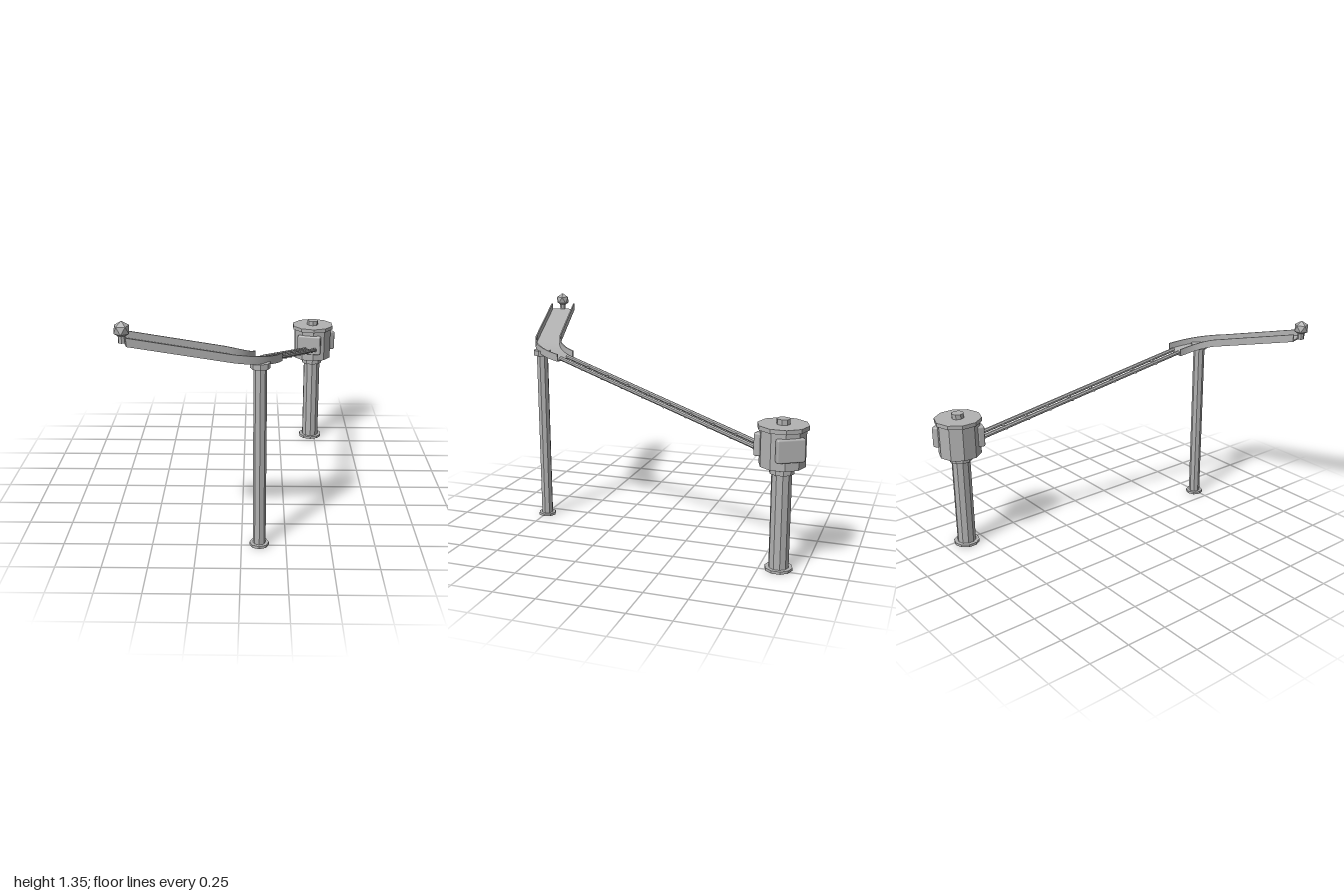
import * as THREE from 'three';
import { toCreasedNormals } from 'three/addons/utils/BufferGeometryUtils.js';
import { RoundedBoxGeometry } from 'three/addons/geometries/RoundedBoxGeometry.js';

const grey = new THREE.MeshStandardMaterial({ color: 0xb2b2b2 });
grey.name = 'grey';

function add(parent, name, geometry, x = 0, y = 0, z = 0) {
  const mesh = new THREE.Mesh(geometry, grey);
  mesh.name = name;
  mesh.position.set(x, y, z);
  parent.add(mesh);
  return mesh;
}

// Upright faceted cylinder between two heights, about the group's axis
function disc(parent, name, radius, y0, y1, sides) {
  const g = toCreasedNormals(new THREE.CylinderGeometry(radius, radius, y1 - y0, sides), 0.3);
  return add(parent, name, g, 0, (y0 + y1) / 2, 0);
}

// Slim bar joining two points
function bar(parent, name, a, b, radius, sides) {
  const d = b.clone().sub(a);
  const g = toCreasedNormals(new THREE.CylinderGeometry(radius, radius, d.length(), sides), 0.3);
  const mesh = add(parent, name, g);
  mesh.position.copy(a).lerp(b, 0.5);
  mesh.quaternion.setFromUnitVectors(new THREE.Vector3(0, 1, 0), d.normalize());
  return mesh;
}

function subgroup(parent, name, x, z) {
  const g = new THREE.Group();
  g.name = name;
  g.position.set(x, 0, z);
  parent.add(g);
  return g;
}

// Sweeps a U-shaped section along a sloping plan path
function troughGeometry() {
  const W = 0.079, H = 0.045, T = 0.008;
  const profile = [[-W, 0], [W, 0], [W, H], [W - T, H], [W - T, T], [T - W, T], [T - W, H], [-W, H]]
    .map(p => new THREE.Vector2(...p));
  const start = new THREE.Vector3(-0.583, 1.235, 0.913);
  const bend = new THREE.QuadraticBezierCurve3(
    new THREE.Vector3(-0.06, 1.107, 0.77),
    new THREE.Vector3(0.105, 1.067, 0.725),
    new THREE.Vector3(0.143, 1.036, 0.563));
  const points = [start, ...bend.getPoints(14)];
  const positions = [], index = [], n = profile.length;
  points.forEach((p, i) => {
    const t = i ? bend.getTangent((i - 1) / 14) : points[1].clone().sub(p);
    const side = new THREE.Vector3(-t.z, 0, t.x).normalize();
    for (const q of profile) positions.push(p.x + side.x * q.x, p.y + q.y, p.z + side.z * q.x);
  });
  for (let i = 0; i < points.length - 1; i++) {
    for (let j = 0; j < n; j++) {
      const a = i * n + j, b = i * n + (j + 1) % n;
      index.push(a, a + n, b + n, a, b + n, b);
    }
  }
  // End faces
  const last = (points.length - 1) * n;
  for (const [a, b, c] of THREE.ShapeUtils.triangulateShape(profile, [])) {
    index.push(a, b, c, last + a, last + c, last + b);
  }
  const g = new THREE.BufferGeometry();
  g.setAttribute('position', new THREE.Float32BufferAttribute(positions, 3));
  g.setIndex(index);
  return toCreasedNormals(g, 0.5);
}

export function createModel() {
  const model = new THREE.Group();
  model.name = 'marbleRun';

  // Tall thin post under the bend
  const tall = subgroup(model, 'tallPost', 0.1, 0.74);
  disc(tall, 'tallPostBase', 0.055, 0, 0.016, 8);
  disc(tall, 'tallPostShaft', 0.036, 0.016, 1.05, 8);
  disc(tall, 'tallPostCap', 0.054, 1.048, 1.08, 8);

  // Thick post with a drum hovering just above it
  const tower = subgroup(model, 'drumTower', 0.472, -0.86);
  disc(tower, 'thickPostBase', 0.079, 0, 0.016, 10);
  disc(tower, 'thickPostShaft', 0.057, 0.016, 0.594, 10);
  disc(tower, 'thickPostCap', 0.07, 0.563, 0.588, 10);
  disc(tower, 'drum', 0.129, 0.607, 0.812, 10);
  disc(tower, 'drumLid', 0.142, 0.812, 0.836, 10);
  disc(tower, 'drumKnob', 0.038, 0.836, 0.866, 8);

  // Plates on the drum: one meets the ladder, one faces back and outward
  for (const [name, nx, nz] of [['ladderPlate', -0.24, 0.971], ['outerPlate', 0.85, -0.527]]) {
    const plate = add(tower, name, new RoundedBoxGeometry(0.16, 0.13, 0.042, 1, 0.01),
      nx * 0.117, 0.72, nz * 0.117);
    plate.rotation.y = Math.atan2(nx, nz);
  }

  // Curved trough
  add(model, 'trough', troughGeometry());

  // Ball on a short stem at the high end
  const ballMount = subgroup(model, 'ballMount', -0.592, 0.918);
  disc(ballMount, 'ballStem', 0.02, 1.236, 1.272, 8);
  const ball = add(ballMount, 'ball', new THREE.IcosahedronGeometry(0.045, 0), 0, 1.304, 0);
  ball.rotation.set(0, Math.PI / 2, -Math.atan(2 / (1 + Math.sqrt(5))));

  // Sloping ladder track
  const ladder = subgroup(model, 'ladder', 0, 0);
  const top = new THREE.Vector3(0.14, 1.05, 0.575);
  const low = new THREE.Vector3(0.448, 0.697, -0.715);
  const across = new THREE.Vector3(0.973, 0, 0.232);
  for (const s of [-1, 1]) {
    const off = across.clone().multiplyScalar(s * 0.034);
    bar(ladder, s > 0 ? 'leftRail' : 'rightRail', top.clone().add(off), low.clone().add(off), 0.013, 8);
  }
  for (let i = 0; i < 9; i++) {
    const c = top.clone().lerp(low, (0.165 + 0.141 * i) / 1.29);
    c.y -= 0.006;
    const half = across.clone().multiplyScalar(0.044);
    bar(ladder, 'rung', c.clone().sub(half), c.clone().add(half), 0.009, 6);
  }
  return model;
}
